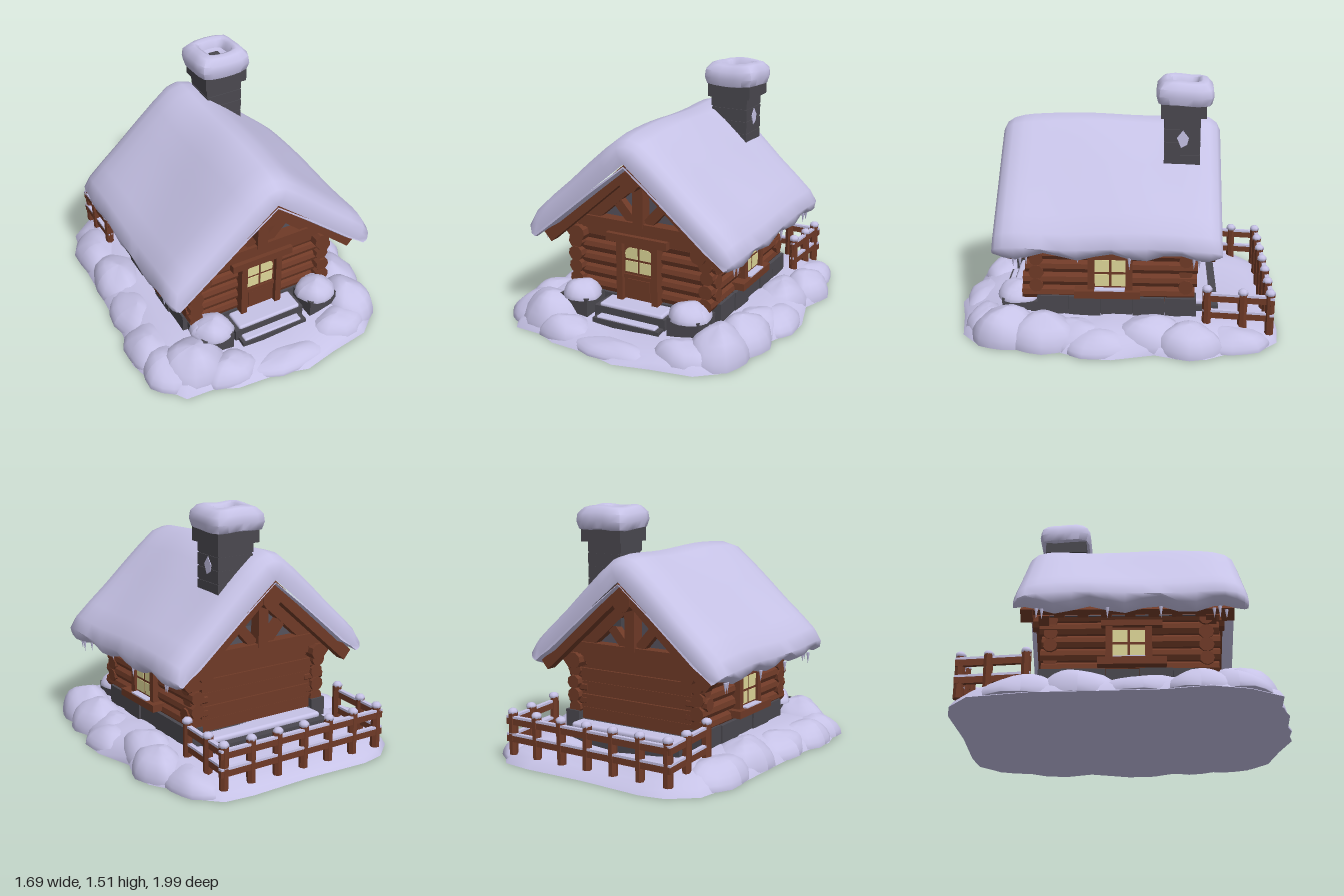
import * as THREE from 'three';
import { toCreasedNormals } from 'three/addons/utils/BufferGeometryUtils.js';
import { RoundedBoxGeometry } from 'three/addons/geometries/RoundedBoxGeometry.js';

const V = (x, y, z) => new THREE.Vector3(x, y, z);

export function createModel() {
  const root = new THREE.Group();
  root.name = 'snowyCabin';
  const paint = (name, color) => Object.assign(new THREE.MeshStandardMaterial({ color }), { name });
  const snow = paint('snow', 0xc6c2e6), wood = paint('wood', 0x6f3a27), stone = paint('stone', 0x4a484f);
  const plaster = paint('gable grey', 0x55525c), glow = paint('window yellow', 0xded798);

  let seed = 7;
  const rnd = (a = 1) => { seed = (seed * 16807) % 2147483647; return (seed / 2147483647 * 2 - 1) * a; };

  const add = (name, geo, mat, x = 0, y = 0, z = 0) => {
    const m = new THREE.Mesh(geo, mat);
    m.name = name;
    m.position.set(x, y, z);
    root.add(m);
    return m;
  };
  // box given by its limits on each axis
  const box = (name, mat, x0, x1, y0, y1, z0, z1) =>
    add(name, new THREE.BoxGeometry(x1 - x0, y1 - y0, z1 - z0), mat, (x0 + x1) / 2, (y0 + y1) / 2, (z0 + z1) / 2);
  // soft snow slab given by its limits
  const drift = (name, x0, x1, y0, y1, z0, z1, r) =>
    add(name, new RoundedBoxGeometry(x1 - x0, y1 - y0, z1 - z0, 3, r), snow, (x0 + x1) / 2, (y0 + y1) / 2, (z0 + z1) / 2);
  // uneven dome of snow, flat underneath
  const mound = (name, x, y, z, rx, h, rz) => {
    const geo = new THREE.SphereGeometry(1, 16, 12), p = geo.attributes.position;
    for (let i = 0; i < p.count; i++) {
      const k = 1 + 0.07 * Math.sin(5 * p.getX(i) + 9 * x) * Math.cos(4 * p.getZ(i) + 7 * z);
      p.setXYZ(i, p.getX(i) * rx * k, Math.max(0.004, p.getY(i) * h * k), p.getZ(i) * rz * k);
    }
    geo.computeVertexNormals();
    add(name, geo, snow, x, y, z);
  };
  // squared beam between two points
  const beam = (name, a, b, h, d, mat = wood) => {
    const m = add(name, new THREE.BoxGeometry(d, h, a.distanceTo(b)), mat);
    m.position.copy(a).lerp(b, 0.5);
    m.lookAt(b);
  };
  // faceted round log between two points
  const log = (name, a, b, r, sides = 9) => {
    const geo = new THREE.CylinderGeometry(r * (1 + rnd(0.06)), r * (1 + rnd(0.06)), a.distanceTo(b), sides, 1);
    const m = add(name, toCreasedNormals(geo, 0.6), wood);
    m.position.copy(a).lerp(b, 0.5);
    m.quaternion.setFromUnitVectors(V(0, 1, 0), b.clone().sub(a).normalize());
  };
  // surface through a list of equal-length closed rings
  const loft = (rings, crease) => {
    const n = rings[0].length, idx = [];
    for (let i = 0; i < rings.length - 1; i++) for (let j = 0; j < n; j++) {
      const a = i * n + j, b = i * n + (j + 1) % n;
      idx.push(a, a + n, b, b, a + n, b + n);
    }
    const geo = new THREE.BufferGeometry().setFromPoints(rings.flat());
    geo.setIndex(idx);
    return toCreasedNormals(geo, crease);
  };

  // ground snow: irregular outline raised in rings, higher along the sides
  const outline = [[0.08, 0.99], [-0.1, 0.94], [-0.37, 0.92], [-0.5, 0.86], [-0.68, 0.85], [-0.8, 0.66], [-0.85, 0.45],
    [-0.8, 0.2], [-0.79, 0], [-0.78, -0.2], [-0.77, -0.5], [-0.7, -0.85], [-0.55, -0.97], [-0.4, -1], [0, -0.98],
    [0.4, -0.99], [0.58, -0.97], [0.7, -0.85], [0.75, -0.65], [0.81, -0.55], [0.82, -0.4], [0.77, -0.25], [0.84, 0],
    [0.83, 0.15], [0.76, 0.3], [0.77, 0.45], [0.7, 0.6], [0.67, 0.8], [0.55, 0.9], [0.3, 0.94]];
  const levels = [[0, 0], [1, 0], [0.975, 0.025], [0.92, 0.05], [0.83, 0.075], [0.7, 0.085], [0.5, 0.085], [0, 0.08]];
  add('groundSnow', loft(levels.map(([s, y]) => outline.map(([x, z]) =>
    V(x * s, y * (0.9 + 0.6 * Math.min(1, x * x / 0.4)) + (y > 0.02 && s ? rnd(0.006) : 0), z * s))), 0.9), snow);

  // heaped mounds: x, z, radius x, height, radius z
  const mounds = [[-0.66, 0.6, 0.18, 0.14, 0.2], [-0.69, 0.4, 0.17, 0.14, 0.22], [-0.65, 0.1, 0.16, 0.13, 0.27],
    [-0.62, -0.25, 0.17, 0.17, 0.25], [-0.62, -0.55, 0.17, 0.14, 0.27], [0.58, 0.63, 0.17, 0.2, 0.21],
    [0.62, 0.4, 0.17, 0.18, 0.22], [0.68, 0.08, 0.17, 0.12, 0.22], [0.61, -0.22, 0.16, 0.17, 0.23],
    [0.68, -0.45, 0.15, 0.16, 0.2], [0.61, -0.7, 0.15, 0.11, 0.22], [-0.53, 0.66, 0.21, 0.21, 0.19],
    [0.42, 0.77, 0.2, 0.13, 0.13], [-0.36, 0.78, 0.19, 0.12, 0.13], [0.02, 0.86, 0.27, 0.075, 0.11], [0.61, 0.2, 0.16, 0.14, 0.22]];
  for (const [x, z, rx, h, rz] of mounds) mound('snowMound', x, 0, z, rx, h, rz);

  // stone base, side blocks and back ledge
  box('foundation', stone, -0.47, 0.47, 0.02, 0.19, -0.48, 0.5);
  for (const s of [-1, 1]) for (let i = 0; i < 5; i++) {
    const z = -0.4 + i * 0.19, x = 0.455 + rnd(0.008);
    add('foundationStone', new THREE.BoxGeometry(0.1, 0.2, 0.188), stone, s * x, 0.14 + rnd(0.005), z);
  }
  box('backLedge', stone, -0.42, 0.42, 0.02, 0.16, -0.63, -0.45);
  drift('backLedgeSnow', -0.4, 0.4, 0.15, 0.19, -0.58, -0.42, 0.018);

  // front steps and snowy stone piers
  box('lowerStep', stone, -0.22, 0.23, 0.03, 0.11, 0.5, 0.71);
  box('upperStep', stone, -0.24, 0.24, 0.03, 0.165, 0.48, 0.65);
  drift('lowerStepSnow', -0.2, 0.2, 0.1, 0.122, 0.62, 0.7, 0.01);
  drift('upperStepSnow', -0.21, 0.22, 0.155, 0.185, 0.5, 0.645, 0.014);
  for (const s of [-1, 1]) {
    const x = s * 0.365;
    box('pier', stone, x - 0.1, x + 0.1, 0.02, 0.205, 0.5, 0.68).rotation.y = s * 0.08;
    mound('pierSnow', x, 0.185, 0.59, 0.125, 0.1, 0.12);
    mound('pierSnow', x + s * 0.02, 0.185, 0.57, 0.115, 0.085, 0.12);
  }

  // log walls with crossing ends
  box('wallCore', wood, -0.44, 0.44, 0.18, 0.6, -0.43, 0.46);
  for (let i = 0; i < 5; i++) {
    const y = 0.225 + i * 0.082;
    for (const s of [-1, 1]) {
      log('sideLog', V(s * 0.445, y + 0.03, -0.49 + rnd(0.012)), V(s * 0.445, y + 0.03, 0.535 + rnd(0.012)), 0.046);
      log('frontLog', V(0, y, 0.46), V(s * (i ? 0.49 + rnd(0.015) : 0.42), y, 0.46), 0.043);
      if (i) log('backCornerLog', V(s * 0.36, y, -0.43), V(s * (0.49 + rnd(0.015)), y, -0.43), 0.043);
    }
    box('backPlank', wood, -0.4, 0.4, y - 0.04, y + 0.039, -0.465 - (i % 2) * 0.005, -0.42);
  }

  // gables, trusses and roof boards
  const tri = new THREE.Shape([[-0.5, 0.57], [0.5, 0.57], [0, 1.02]].map(p => new THREE.Vector2(...p)));
  add('gableWall', new THREE.ExtrudeGeometry(tri, { depth: 0.9, bevelEnabled: false }), plaster, 0, 0, -0.44);
  for (const [z, f] of [[0.49, 1], [-0.47, -1]]) {
    beam('tieBeam', V(-0.42, 0.645, z), V(0.42, 0.645, z), 0.075, 0.09);
    beam('wallPlate', V(-0.42, 0.585, z - f * 0.01), V(0.42, 0.585, z - f * 0.01), 0.05, 0.07);
    beam('kingPost', V(0, 0.66, z + f * 0.01), V(0, 0.98, z + f * 0.01), 0.08, 0.07);
    for (const s of [-1, 1]) {
      beam('strut', V(s * 0.05, 0.68, z), V(s * 0.22, 0.87, z), 0.06, 0.05);
      beam('gableRafter', V(0, 0.97, z), V(s * 0.5, 0.53, z), 0.08, 0.06);
      const zb = z + f * 0.09;
      beam('bargeBoard', V(0, 1.045, zb), V(s * 0.59, 0.53, zb), 0.075, 0.07);
    }
  }
  for (const s of [-1, 1]) {
    beam('roofDeck', V(0, 1.06, 0.01), V(s * 0.58, 0.555, 0.01), 0.03, 1.1);
    log('purlin', V(s * 0.41, 0.565, -0.54), V(s * 0.41, 0.565, 0.57), 0.052);
    for (let i = 0; i < 7; i++) {
      const z = -0.38 + i * 0.135;
      beam('rafterTail', V(s * 0.4, 0.68, z), V(s * 0.53, 0.57, z), 0.045, 0.06);
    }
  }
  log('ridgeLog', V(0, 0.965, -0.6), V(0, 0.965, 0.64), 0.064, 10);

  // roof snow: arched section swept front to back, rounded at both ends
  const half = [[0, 1.24], [0.09, 1.215], [0.2, 1.125], [0.32, 1.015], [0.45, 0.89], [0.57, 0.785], [0.66, 0.7],
    [0.7, 0.62], [0.69, 0.555], [0.63, 0.52], [0.57, 0.565], [0.5, 0.625], [0.35, 0.755], [0.2, 0.885], [0, 1.055]];
  const section = [...half, ...half.slice(1, -1).reverse().map(([x, y]) => [-x, y])];
  const stations = [[-0.63, 1], [-0.632, 0.62], [-0.61, 0.33], [-0.565, 0.13], [-0.5, 0.03], [-0.4, 0], [-0.3, 0], [-0.2, 0],
    [-0.1, 0], [0, 0], [0.1, 0], [0.2, 0], [0.3, 0], [0.4, 0], [0.5, 0], [0.56, 0.03], [0.625, 0.13], [0.67, 0.33], [0.692, 0.62], [0.69, 1]];
  add('roofSnow', loft(stations.map(([z, t]) => section.map(([x, y]) => {
    const k = THREE.MathUtils.clamp((Math.abs(x) - 0.83 * (y - 1.085)) / 1.689, 0, 0.63);
    const edge = y < 0.6 ? 0.025 + 0.022 * Math.sin(17 * z + 2 * x) : 0;
    const wave = y > 0.6 ? 0.008 * Math.sin(7 * z + 4 * x) : 0;
    return V(THREE.MathUtils.lerp(x, Math.sign(x) * k, t), THREE.MathUtils.lerp(y + wave + edge, 1.085 - 0.83 * k, t), z);
  })), 1.0), snow);

  // icicles along the eaves
  for (const s of [-1, 1]) for (const z of [-0.5, -0.47, -0.1, 0.2, 0.5, 0.53, 0.57]) {
    const len = 0.06 + rnd(0.015);
    add('icicle', new THREE.ConeGeometry(0.011, len, 6).rotateX(Math.PI), snow, s * (0.63 + rnd(0.025)), 0.55 - len / 2, z);
  }

  // front door with arched panes
  box('doorLeaf', wood, -0.11, 0.1, 0.19, 0.56, 0.45, 0.52);
  box('doorPanel', wood, -0.08, 0.07, 0.21, 0.32, 0.5, 0.526);
  box('doorRail', wood, -0.11, 0.1, 0.325, 0.35, 0.5, 0.53);
  for (const x of [-0.125, 0.115]) box('doorJamb', wood, x - 0.02, x + 0.02, 0.185, 0.57, 0.45, 0.55);
  box('doorLintel', wood, -0.21, 0.2, 0.555, 0.605, 0.45, 0.56);
  for (const s of [-1, 1]) {
    const pane = new THREE.Shape();
    pane.moveTo(0, 0); pane.lineTo(s * 0.08, 0); pane.lineTo(s * 0.085, 0.03);
    pane.quadraticCurveTo(s * 0.08, 0.07, s * 0.04, 0.07); pane.lineTo(0, 0.07);
    add('doorPane', new THREE.ExtrudeGeometry(pane, { depth: 0.006, bevelEnabled: false }), glow, -0.006 + s * 0.007, 0.45, 0.518);
    const x = -0.006 + s * 0.0485;
    box('doorPane', glow, x - 0.0415, x + 0.0415, 0.365, 0.435, 0.518, 0.524);
  }

  // side windows
  for (const s of [-1, 1]) {
    const part = (name, mat, x, d, y0, y1, z0, z1) => box(name, mat, s * x - d / 2, s * x + d / 2, y0, y1, z0, z1);
    part('windowBack', wood, 0.475, 0.05, 0.29, 0.5, -0.09, 0.125);
    for (const z of [-0.095, 0.13]) part('windowJamb', wood, 0.49, 0.06, 0.28, 0.51, z - 0.02, z + 0.02);
    part('windowLintel', wood, 0.495, 0.07, 0.495, 0.53, -0.14, 0.21);
    part('windowSill', wood, 0.505, 0.09, 0.25, 0.295, -0.16, 0.23);
    part('sillSnow', snow, 0.52, 0.05, 0.294, 0.303, -0.07, 0.11);
    for (const z of [-0.033, 0.067]) for (const y of [0.35, 0.44])
      part('windowPane', glow, 0.5, 0.007, y - 0.037, y + 0.037, z - 0.042, z + 0.042);
  }

  // chimney with hollowed snow cap and side patch
  box('chimneyShaft', stone, 0.075, 0.305, 0.8, 1.32, -0.5, -0.295);
  box('chimneyCollar', stone, 0.05, 0.335, 1.295, 1.38, -0.535, -0.27);
  for (let i = 0; i < 4; i++) box('chimneyCourse', stone, 0.07 - (i % 2) * 0.004, 0.31, 1.0 + i * 0.078, 1.07 + i * 0.078, -0.502, -0.29);
  const capProfile = [[0, 1.37], [0.13, 1.365], [0.165, 1.375], [0.178, 1.42], [0.172, 1.465], [0.14, 1.5],
    [0.11, 1.51], [0.088, 1.5], [0.075, 1.45], [0, 1.44]];
  add('chimneySnow', loft(capProfile.map(([r, y]) => Array.from({ length: 24 }, (_, j) => {
    const a = j / 24 * Math.PI * 2, c = Math.cos(a), n = Math.sin(a), q = r / Math.pow(c ** 6 + n ** 6, 1 / 6);
    return V(0.19 + c * q, y + 0.005 * Math.sin(3 * a) * Math.min(1, r * 10), -0.41 + n * q * 0.95);
  })), 1.0), snow);
  box('flue', stone, 0.16, 0.22, 1.443, 1.451, -0.44, -0.38);
  const patch = new THREE.Shape([[-0.035, 0.01], [-0.01, -0.05], [0.025, -0.03], [0.035, 0.01], [0, 0.055]].map(p => new THREE.Vector2(...p)));
  add('chimneyPatch', new THREE.ExtrudeGeometry(patch, { depth: 0.006, bevelEnabled: false }), snow, 0.308, 1.165, -0.4).rotation.y = Math.PI / 2;

  // back yard fence
  const posts = [];
  for (let i = 0; i < 7; i++) posts.push([-0.54 + i * 0.183, -0.925]);
  for (const s of [-1, 1]) posts.push([s * 0.555, -0.765], [s * 0.555, -0.555]);
  for (const [x, z] of posts) {
    const lift = z > -0.6 ? 0.02 : 0;
    log('fencePost', V(x, 0.05, z), V(x + rnd(0.006), 0.305 + lift, z), 0.028, 7);
    add('postSnow', new THREE.SphereGeometry(0.032, 7, 5), snow, x, 0.308 + lift, z).scale.y = 0.75;
  }
  for (const y of [0.15, 0.255]) {
    const rails = [[V(-0.57, y, -0.935), V(0.59, y, -0.935)]];
    for (const s of [-1, 1]) rails.push([V(s * 0.555, y, -0.95), V(s * 0.555, y + 0.02, -0.53)]);
    for (const [a, b] of rails) {
      beam('fenceRail', a, b, 0.04, 0.024);
      const up = V(0, 0.025, 0);
      beam('railSnow', a.clone().add(up), b.clone().add(up), 0.014, 0.026, snow);
    }
  }
  return root;
}
